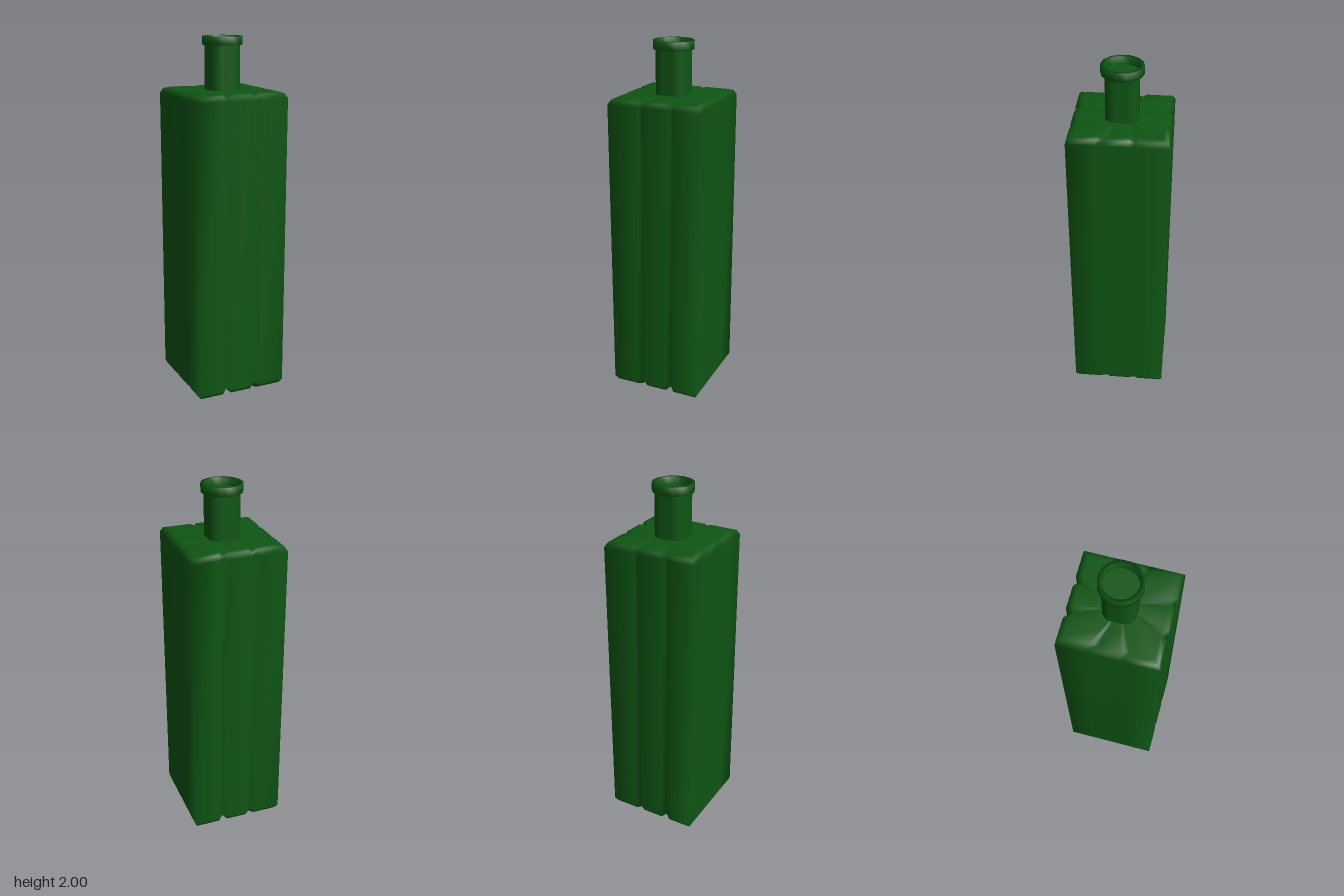
import * as THREE from 'three';

const green = new THREE.MeshStandardMaterial({ color: 0x0f5514 });

// Stacked square rings, each side notched at two places.
// Ring: y, half size s, notch inset on z sides (nz) and x sides (nx), vertical shift of notches (dip)
function notchedBody(rings) {
  const steps = [-1, -0.443, -0.341, -0.239, 0.239, 0.341, 0.443];
  const pos = [], index = [];
  const n = steps.length * 4;
  for (const [y, s, nz, nx, dip] of rings) {
    for (let side = 0; side < 4; side++) {
      const a = side * Math.PI / 2, c = Math.cos(a), q = Math.sin(a);
      for (const t of steps) {
        const notch = Math.abs(t) === 0.341;
        const u = t * s, w = s - (notch ? (side % 2 ? nx : nz) : 0);
        pos.push(u * c + w * q, y + (notch ? dip : 0), w * c - u * q);
      }
    }
  }
  for (let r = 0; r < rings.length - 1; r++) {
    for (let i = 0; i < n; i++) {
      const a = r * n + i, b = r * n + (i + 1) % n;
      index.push(a, b, b + n, a, b + n, a + n);
    }
  }
  // close both ends with fans
  const bottom = pos.length / 3, top = bottom + 1, last = (rings.length - 1) * n;
  pos.push(0, rings[0][0], 0, 0, rings[rings.length - 1][0], 0);
  for (let i = 0; i < n; i++) {
    const j = (i + 1) % n;
    index.push(bottom, j, i, top, last + i, last + j);
  }
  const g = new THREE.BufferGeometry();
  g.setAttribute('position', new THREE.Float32BufferAttribute(pos, 3));
  g.setIndex(index);
  g.computeVertexNormals();
  return g;
}

// Rounded square outline for the neck
function roundedSquare(h, r) {
  const s = new THREE.Shape();
  const k = h - r;
  s.absarc(k, k, r, 0, Math.PI / 2);
  s.absarc(-k, k, r, Math.PI / 2, Math.PI);
  s.absarc(-k, -k, r, Math.PI, Math.PI * 1.5);
  s.absarc(k, -k, r, Math.PI * 1.5, Math.PI * 2);
  return s;
}

export function createModel() {
  const group = new THREE.Group();
  const add = (name, geometry) => {
    const mesh = new THREE.Mesh(geometry, green);
    mesh.name = name;
    group.add(mesh);
    return mesh;
  };

  // Bottle body: grooves run down front and back, and nick the top and bottom rims all round
  add('body', notchedBody([
    [0.005, 0.13, 0, 0, 0],
    [0.005, 0.225, 0.01, 0.01, 0.022],
    [0.013, 0.25, 0.02, 0.02, 0.02],
    [0.038, 0.264, 0.024, 0, 0],
    [1.682, 0.264, 0.024, 0, 0],
    [1.707, 0.25, 0.02, 0.02, -0.02],
    [1.715, 0.225, 0.01, 0.01, -0.022],
    [1.715, 0.13, 0, 0, 0],
  ]));

  // Neck
  const neck = new THREE.ExtrudeGeometry(roundedSquare(0.087, 0.057),
    { depth: 0.27, bevelEnabled: false, curveSegments: 4 });
  neck.rotateX(-Math.PI / 2);
  add('neck', neck).position.y = 1.69;

  // Ring lip around the mouth
  const lip = [[0.09, 1.955], [0.112, 1.955], [0.112, 2], [0.09, 2], [0.09, 1.955]];
  const shell = new THREE.LatheGeometry(lip.map(([x, y]) => new THREE.Vector2(x, y)), 14);
  add('lip', shell);

  return group;
}
